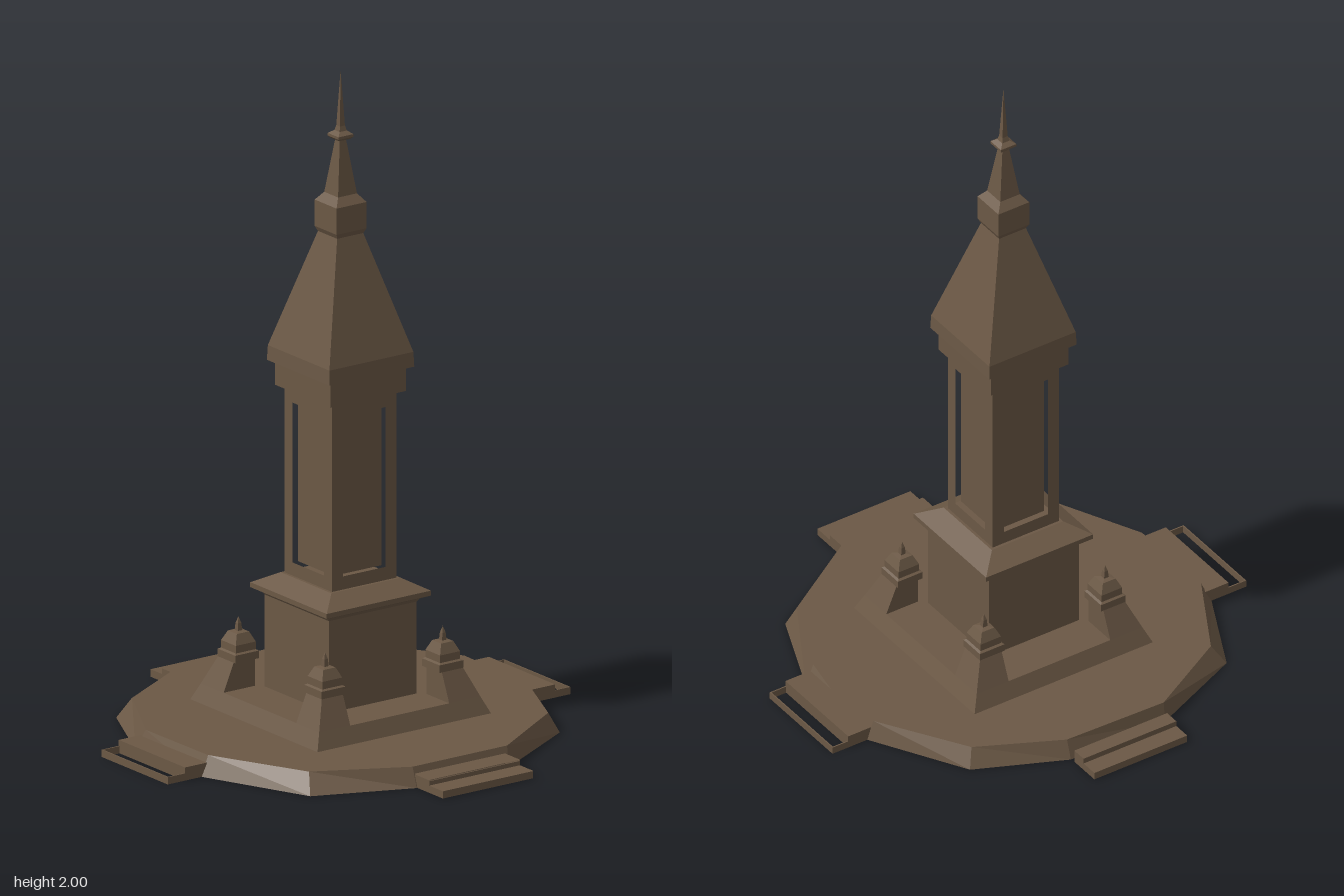
import * as THREE from 'three';

export function createModel() {
  const model = new THREE.Group();
  const stone = new THREE.MeshStandardMaterial({ color: 0x6b5845 });
  stone.name = 'brown stone';

  const add = (parent, name, geometry, x = 0, y = 0, z = 0) => {
    const flat = geometry.index ? geometry.toNonIndexed() : geometry;
    flat.computeVertexNormals();
    const mesh = new THREE.Mesh(flat, stone);
    mesh.name = name;
    mesh.position.set(x, y, z);
    parent.add(mesh);
    return mesh;
  };
  const group = (name, parent) => {
    const g = new THREE.Group();
    g.name = name;
    parent.add(g);
    return g;
  };
  // Square tower section from [half width, height] pairs, bottom to top
  const square = (profile) => new THREE.LatheGeometry(
    profile.map(([h, y]) => new THREE.Vector2(h * Math.SQRT2, y)), 4, Math.PI / 4);

  // Twelve-sided platform: foot and rim outlines as [x, z]
  const foot = [[-.19, -.605], [.13, -.605], [.41, -.487], [.59, -.17], [.59, .16], [.47, .455],
    [.135, .6], [-.19, .6], [-.465, .467], [-.6, .16], [-.6, -.17], [-.477, -.44]];
  const rim = [[-.19, -.585], [.135, -.575], [.39, -.46], [.57, -.18], [.57, .16], [.43, .43],
    [.13, .573], [-.17, .577], [-.438, .43], [-.588, .163], [-.58, -.17], [-.455, -.42]];
  const pos = [];
  foot.forEach((f, i) => {
    const j = (i + 1) % foot.length;
    const a = [f[0], 0, f[1]], b = [foot[j][0], 0, foot[j][1]];
    const c = [rim[i][0], .06, rim[i][1]], d = [rim[j][0], .06, rim[j][1]];
    pos.push(...a, ...c, ...d, ...a, ...d, ...b);
    pos.push(0, .06, 0, ...d, ...c, 0, 0, 0, ...a, ...b);
  });
  const slab = new THREE.BufferGeometry();
  slab.setAttribute('position', new THREE.Float32BufferAttribute(pos, 3));
  add(model, 'platform', slab);

  // Steps on four sides; thin shells, some with open lower treads
  const W = .325, T = .004;
  const tread = (z0, z1) => new THREE.PlaneGeometry(W, z1 - z0).rotateX(-Math.PI / 2);
  const steps = [
    { name: 'frontSteps', turn: 0, shift: -.027, inner: .57, mid: .66, outer: .722 },
    { name: 'leftSteps', turn: 1, shift: .005, inner: .57, mid: .65, outer: .715, lower: true, thin: true },
    { name: 'backSteps', turn: 2, shift: .027, inner: .575, mid: .672, outer: .727 },
    { name: 'rightSteps', turn: 3, shift: -.005, inner: .614, mid: .662, outer: .718, lower: true },
  ];
  for (const s of steps) {
    const g = group(s.name, model);
    g.rotation.y = s.turn * Math.PI / 2;
    const surface = (name, z0, z1, y) => s.thin
      ? add(g, name, tread(z0, z1), s.shift, y, (z0 + z1) / 2)
      : add(g, name, new THREE.BoxGeometry(W, T, z1 - z0), s.shift, y - T / 2, (z0 + z1) / 2);
    surface('upperTread', s.inner, s.mid, .04);
    if (s.lower) surface('lowerTread', s.mid, s.outer, .023);
    add(g, 'upperRiser', new THREE.BoxGeometry(W, .036, T), s.shift, .018, s.mid - T / 2);
    add(g, 'lowerRiser', new THREE.BoxGeometry(W, .022, T), s.shift, .011, s.outer - T / 2);
    for (const e of [-1, 1]) {
      const x = s.shift + e * (W - T) / 2;
      add(g, 'upperCheek', new THREE.BoxGeometry(T, .038, s.mid - s.inner), x, .019, (s.mid + s.inner) / 2);
      add(g, 'lowerCheek', new THREE.BoxGeometry(T, .022, s.outer - s.mid), x, .011, (s.outer + s.mid) / 2);
    }
  }

  const tower = group('tower', model);
  tower.position.set(-.016, 0, -.011);

  // Sloped plinth, pedestal and cornice
  add(tower, 'pedestal', square([[.312, .06], [.29, .11], [.158, .11], [.158, .39], [.165, .4],
    [.1875, .41], [.1875, .425], [.125, .46], [0, .46]]));

  // Corner piers with battered outer faces and small finials
  for (let i = 0; i < 4; i++) {
    const corner = group('cornerPier', tower);
    corner.rotation.y = i * Math.PI / 2;
    const pier = new THREE.BoxGeometry(1, 1, 1);
    const p = pier.attributes.position;
    for (let k = 0; k < p.count; k++) {
      const top = p.getY(k) > 0, out = top ? .252 : .29;
      p.setXYZ(k, p.getX(k) > 0 ? out : .178, top ? .2 : .11, p.getZ(k) > 0 ? out : .178);
    }
    add(corner, 'pier', pier);
    add(corner, 'finial', square([[0, .195], [.043, .195], [.043, .218], [.036, .222], [.036, .245],
      [.022, .275], [.008, .278], [.006, .3], [0, .32]]), .212, 0, .212);
  }

  // Shaft: four framed faces with recessed panels set free behind them
  for (let i = 0; i < 4; i++) {
    const side = group('shaftSide', tower);
    side.rotation.y = i * Math.PI / 2;
    const rect = (path, h, y0, y1) => path.moveTo(-h, y0).lineTo(h, y0).lineTo(h, y1).lineTo(-h, y1).closePath();
    const face = rect(new THREE.Shape(), .116, .455, 1.03);
    face.holes.push(rect(new THREE.Path(), .077, .5, .987));
    add(side, 'shaftFrame', new THREE.ShapeGeometry(face), 0, 0, .116);
    add(side, 'recessedPanel', new THREE.PlaneGeometry(.154, .487), 0, .7435, .096);
  }

  // Capital, tall hipped roof, lantern and spire
  add(tower, 'capital', square([[0, 1.03], [.136, 1.03], [.136, 1.105]]));
  add(tower, 'roof', square([[.136, 1.105], [.153, 1.105], [.151, 1.15], [.047, 1.505]]));
  add(tower, 'lantern', square([[.047, 1.505], [.054, 1.52], [.054, 1.6], [.034, 1.625]]));
  add(tower, 'spire', square([[.034, 1.625], [.011, 1.79], [.02, 1.79], [.027, 1.797], [.027, 1.805],
    [.013, 1.815], [.009, 1.83], [0, 2]]));
  return model;
}
